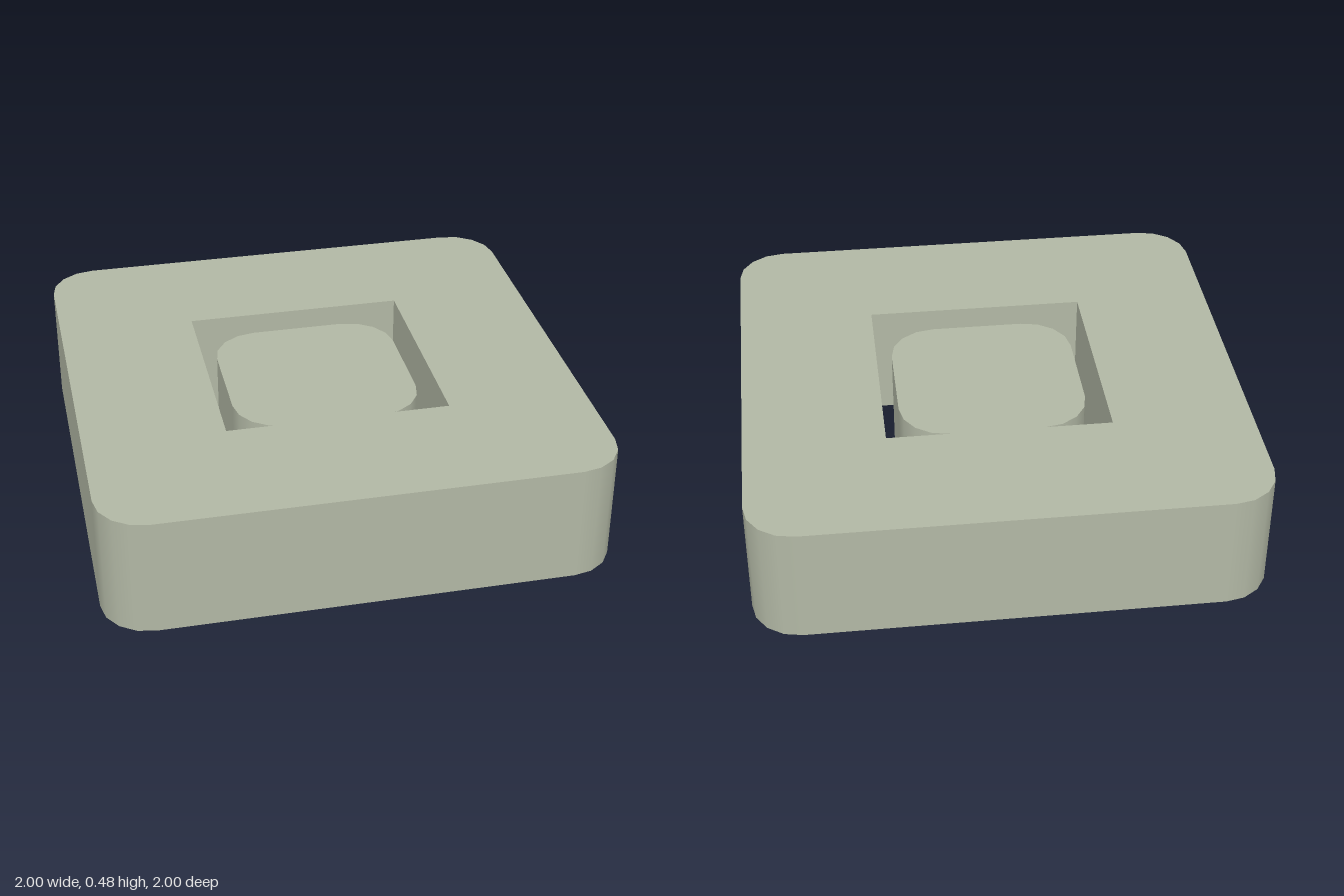
import * as THREE from 'three';

const RADIUS = 0.19;

// Square outline with rounded corners
function roundedSquare(half) {
  const c = half - RADIUS;
  const shape = new THREE.Shape();
  [[c, c], [-c, c], [-c, -c], [c, -c]].forEach(([x, y], i) => {
    shape.absarc(x, y, RADIUS, i * Math.PI / 2, (i + 1) * Math.PI / 2, false);
  });
  shape.closePath();
  return shape;
}

// Upright slab standing on y = 0, with smooth corner walls and crisp rims
function slab(shape, half, height) {
  const geometry = new THREE.ExtrudeGeometry(shape, { depth: height, bevelEnabled: false, curveSegments: 2 });
  geometry.rotateX(-Math.PI / 2);
  const { position, normal } = geometry.attributes;
  const c = half - RADIUS;
  const n = new THREE.Vector3();
  for (let i = 0; i < position.count; i++) {
    if (Math.abs(normal.getY(i)) > 0.5) continue;
    const x = position.getX(i), z = position.getZ(i);
    n.set(Math.sign(x) * Math.max(Math.abs(x) - c, 0), 0, Math.sign(z) * Math.max(Math.abs(z) - c, 0));
    if (n.length() < 0.01) continue; // inner walls stay flat
    n.normalize();
    normal.setXYZ(i, n.x, n.y, n.z);
  }
  return geometry;
}

export function createModel() {
  const group = new THREE.Group();
  const stone = new THREE.MeshStandardMaterial({ color: 0xb2b8a5 });
  stone.name = 'sage grey';

  // Outer frame with a square opening right through it
  const frameShape = roundedSquare(1);
  const h = 0.445;
  frameShape.holes.push(new THREE.Path([
    new THREE.Vector2(-h, -h), new THREE.Vector2(-h, h),
    new THREE.Vector2(h, h), new THREE.Vector2(h, -h),
  ]));
  const frame = new THREE.Mesh(slab(frameShape, 1, 0.48), stone);
  frame.name = 'outerFrame';

  // Loose block in the opening, slightly lower than the frame
  const block = new THREE.Mesh(slab(roundedSquare(0.378), 0.378, 0.43), stone);
  block.name = 'centreBlock';

  group.add(frame, block);
  return group;
}
